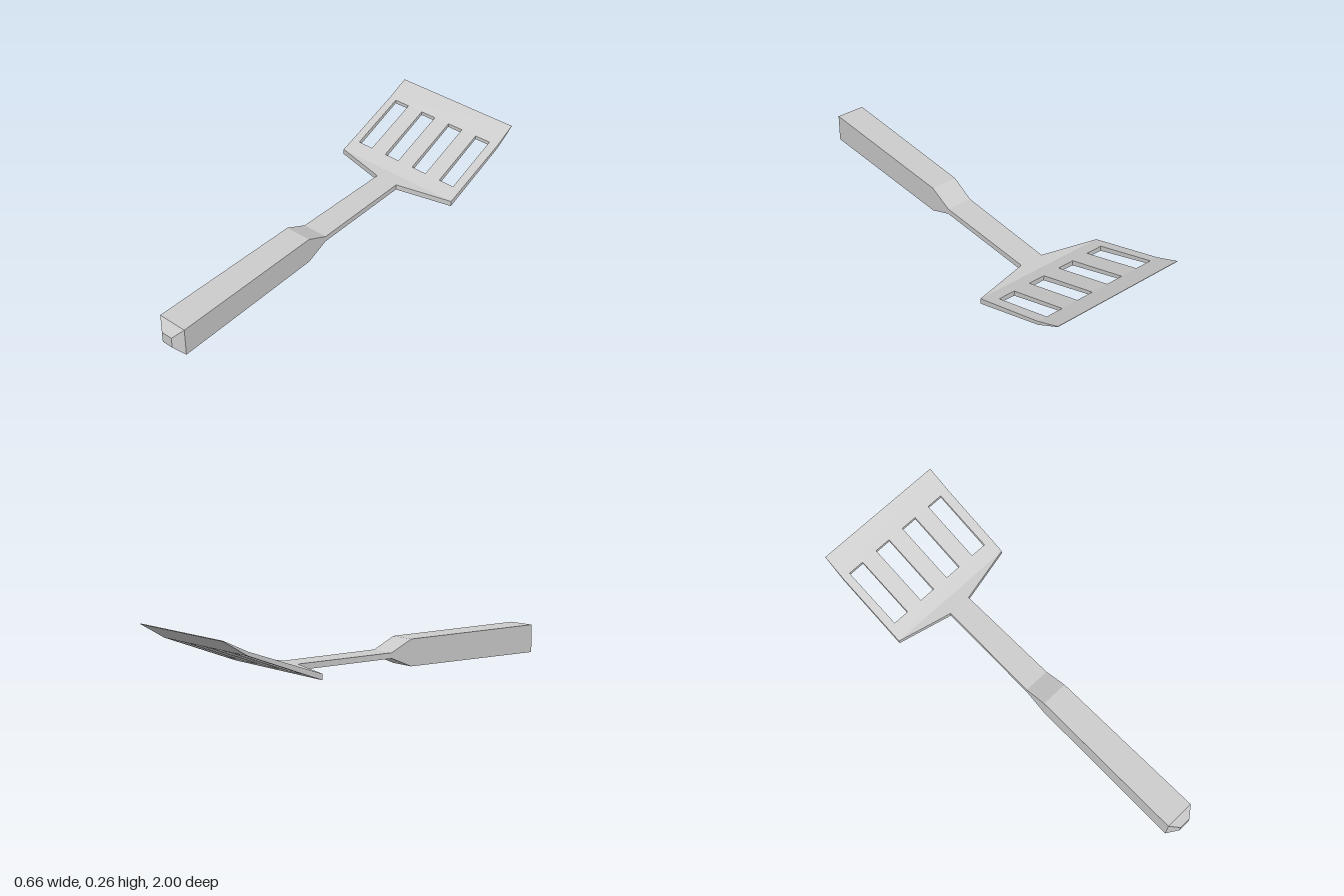
import * as THREE from 'three';

const material = new THREE.MeshStandardMaterial({ color: 0xcccccc, flatShading: true });

function polygon(points) {
  return points.map(([x, s]) => new THREE.Vector2(x, s));
}

// Plate drawn as outline in (x, s = -z); bottom and top heights run linearly from start to end.
function plate(name, outline, holes, start, end) {
  const shape = new THREE.Shape(polygon(outline));
  holes.forEach((h) => shape.holes.push(new THREE.Path(polygon(h))));
  const geometry = new THREE.ExtrudeGeometry(shape, { depth: 1, bevelEnabled: false });
  const p = geometry.attributes.position;
  for (let i = 0; i < p.count; i++) {
    const s = p.getY(i);
    const f = (s - start.s) / (end.s - start.s);
    const bottom = THREE.MathUtils.lerp(start.bottom, end.bottom, f);
    const top = THREE.MathUtils.lerp(start.top, end.top, f);
    p.setXYZ(i, p.getX(i), THREE.MathUtils.lerp(bottom, top, p.getZ(i)), -s);
  }
  geometry.computeVertexNormals();
  const mesh = new THREE.Mesh(geometry, material);
  mesh.name = name;
  return mesh;
}

// Rectangular bar through sections [z, left x, right x, bottom y, top y].
function bar(name, sections) {
  const n = sections.length - 1;
  const geometry = new THREE.BoxGeometry(1, 1, 1, 1, 1, n);
  const p = geometry.attributes.position;
  for (let i = 0; i < p.count; i++) {
    const [z, x0, x1, y0, y1] = sections[Math.round((0.5 - p.getZ(i)) * n)];
    p.setXYZ(i, p.getX(i) < 0 ? x0 : x1, p.getY(i) < 0 ? y0 : y1, z);
  }
  geometry.computeVertexNormals();
  const mesh = new THREE.Mesh(geometry, material);
  mesh.name = name;
  return mesh;
}

export function createModel() {
  const group = new THREE.Group();
  group.name = 'slottedSpatula';

  // Grip with bevelled butt, tapering into the thin shaft
  group.add(bar('handle', [
    [1.0, -0.035, 0.021, 0.044, 0.097],
    [0.962, -0.08, 0.062, 0.002, 0.14],
    [0.18, -0.074, 0.056, 0.01, 0.138],
    [0.065, -0.072, 0.055, 0.058, 0.085],
    [-0.455, -0.064, 0.052, 0.058, 0.085],
  ]));

  // Heights of the blade at its folds
  const neck = { s: 0.455, bottom: 0.058, top: 0.085 };
  const fold = { s: 0.52, bottom: 0.058, top: 0.085 };
  const bend = { s: 0.885, bottom: 0.195, top: 0.213 };
  const edge = { s: 1.0, bottom: 0.264, top: 0.267 };

  // Flat shoulder flaring out from the shaft
  group.add(plate('bladeShoulder',
    [[-0.064, 0.455], [0.052, 0.455], [0.33, 0.52], [-0.33, 0.52]], [], neck, fold));

  // Sloped panel with four slots
  const slots = [-0.25, -0.085, 0.08, 0.244].map((x) => [
    [x - 0.039, 0.592], [x - 0.043, 0.885 - 0.001], [x + 0.038, 0.885 - 0.001], [x + 0.042, 0.592],
  ]);
  group.add(plate('slottedBlade',
    [[-0.33, 0.52], [0.33, 0.52], [0.328, 0.885], [-0.332, 0.885]], slots, fold, bend));

  // Steeper tip thinning to a sharp edge
  group.add(plate('bladeTip',
    [[-0.332, 0.885], [0.328, 0.885], [0.327, 1], [-0.33, 1]], [], bend, edge));

  return group;
}
